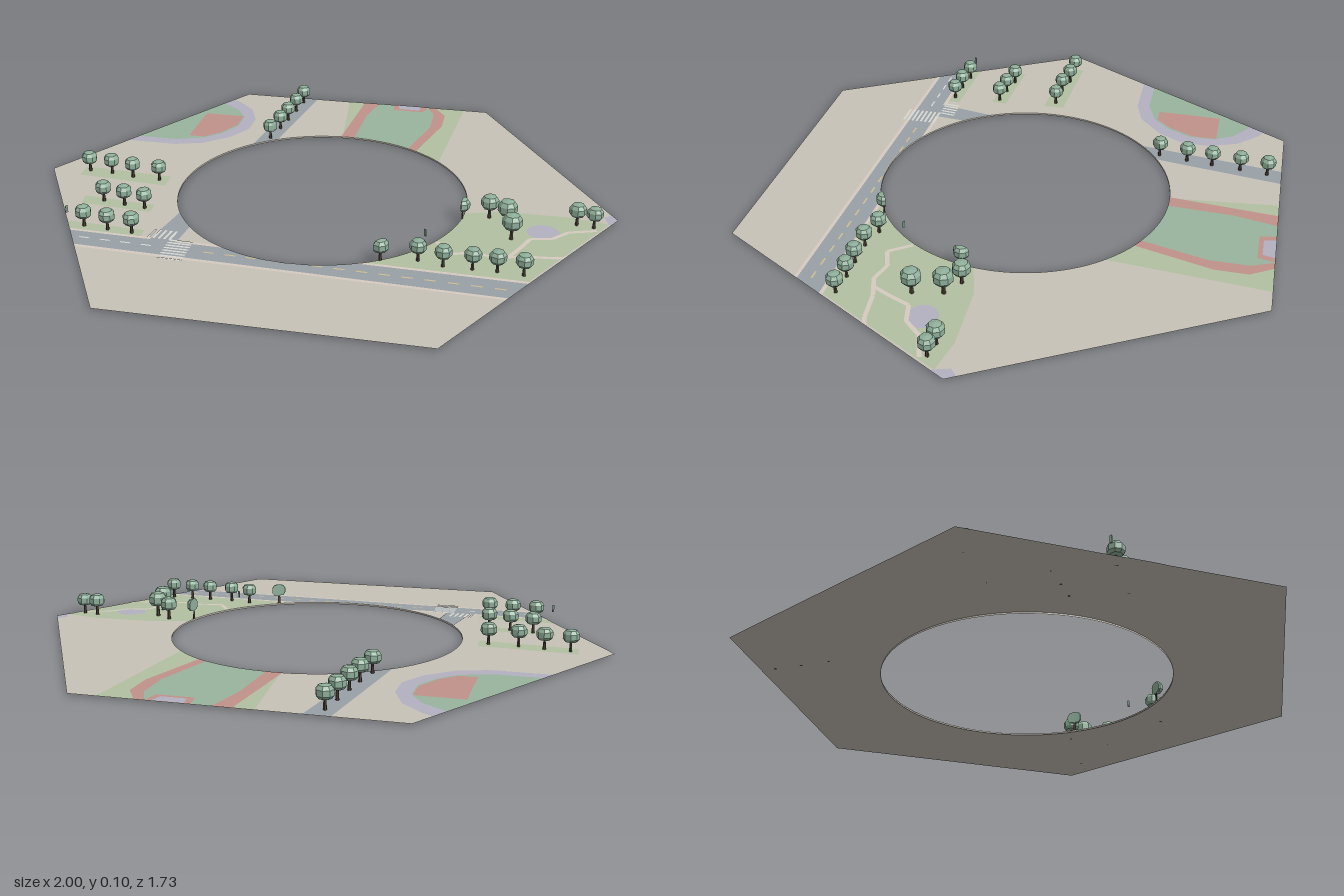
import * as THREE from 'three';

const HOLE = 0.5, GROUND = 0.006, H = Math.sqrt(3) / 2;
const mat = (color, flat = false) =>
  new THREE.MeshStandardMaterial({ color, flatShading: flat, side: THREE.DoubleSide });
const M = {
  ground: mat(0xc8c2b8), road: mat(0x98a1a6), grass: mat(0xb2c0a2), field: mat(0x9ab49e),
  red: mat(0xbf928b), lilac: mat(0xb3b1c0), path: mat(0xd6cbc0), white: mat(0xd9d9d4),
  yellow: mat(0xd0bd90), crown: mat(0x8fb09a, true), trunk: mat(0x4e4038, true),
};
const hexagon = [0, 1, 2, 3, 4, 5].map(i => [Math.cos(i * Math.PI / 3), Math.sin(i * Math.PI / 3)]);

// Cut a polygon [x, z] to the hexagon
function clipToHexagon(poly) {
  for (let i = 0; i < 6; i++) {
    const a = (i + 0.5) * Math.PI / 3, nx = Math.cos(a), nz = Math.sin(a), out = [];
    poly.forEach((p, k) => {
      const q = poly[(k + 1) % poly.length];
      const dp = H - p[0] * nx - p[1] * nz, dq = H - q[0] * nx - q[1] * nz;
      if (dp >= 0) out.push(p);
      if (dp * dq < 0) {
        const t = dp / (dp - dq);
        out.push([p[0] + (q[0] - p[0]) * t, p[1] + (q[1] - p[1]) * t]);
      }
    });
    poly = out;
  }
  return poly;
}

// Points inside the central hole move out to its rim
function outOfHole([x, z]) {
  const r = Math.hypot(x, z);
  return r < HOLE ? [x * HOLE / r, z * HOLE / r] : [x, z];
}

// Flat marking on the ground, cut to the plate's outline
function patch(parent, name, material, poly, layer) {
  const cut = clipToHexagon(poly), pts = [];
  if (cut.length < 3) return;
  cut.forEach((p, k) => {
    const q = cut[(k + 1) % cut.length];
    const n = Math.max(1, Math.ceil(Math.hypot(q[0] - p[0], q[1] - p[1]) / 0.02));
    for (let j = 0; j < n; j++) {
      const [x, z] = outOfHole([p[0] + (q[0] - p[0]) * j / n, p[1] + (q[1] - p[1]) * j / n]);
      pts.push(new THREE.Vector2(x, -z));
    }
  });
  const geo = new THREE.ShapeGeometry(new THREE.Shape(pts));
  geo.rotateX(-Math.PI / 2).translate(0, GROUND + layer * 0.0004, 0);
  const mesh = new THREE.Mesh(geo, material);
  mesh.name = name;
  parent.add(mesh);
}

// Straight strip between two points
function strip(parent, name, material, a, b, width, layer) {
  const dx = b[0] - a[0], dz = b[1] - a[1], l = Math.hypot(dx, dz);
  const nx = -dz / l * width / 2, nz = dx / l * width / 2;
  patch(parent, name, material, [[a[0] + nx, a[1] + nz], [b[0] + nx, b[1] + nz],
    [b[0] - nx, b[1] - nz], [a[0] - nx, a[1] - nz]], layer);
}

// Low-poly tree: tapered trunk and faceted crown
function tree(parent, x, z, s = 1) {
  const g = new THREE.Group();
  g.name = 'tree';
  const profile = [[0, 0.032], [0.02, 0.034], [0.027, 0.043], [0.027, 0.061], [0.019, 0.072], [0, 0.076]]
    .map(p => new THREE.Vector2(...p));
  const parts = [
    ['trunk', new THREE.CylinderGeometry(0.004, 0.006, 0.034, 6).translate(0, 0.017, 0), M.trunk],
    ['crown', new THREE.LatheGeometry(profile, 8), M.crown],
  ];
  for (const [name, geo, material] of parts) {
    geo.scale(s, s, s).translate(x, GROUND, z);
    const p = geo.attributes.position;
    for (let i = 0; i < p.count; i++) {
      const [px, pz] = outOfHole([p.getX(i), p.getZ(i)]);
      p.setXYZ(i, px, p.getY(i), pz);
    }
    geo.computeVertexNormals();
    const mesh = new THREE.Mesh(geo, material);
    mesh.name = name;
    g.add(mesh);
  }
  parent.add(g);
}

export function createModel() {
  const model = new THREE.Group();
  model.name = 'cityBlock';
  const group = name => {
    const g = new THREE.Group();
    g.name = name;
    model.add(g);
    return g;
  };

  // Hexagonal plate with a round opening and its rim
  const shape = new THREE.Shape(hexagon.map(p => new THREE.Vector2(...p)));
  shape.holes.push(new THREE.Path().absarc(0, 0, HOLE, 0, Math.PI * 2, true));
  const plate = new THREE.Mesh(
    new THREE.ShapeGeometry(shape, 48).rotateX(-Math.PI / 2).translate(0, GROUND, 0), M.ground);
  plate.name = 'groundPlate';
  const rim = new THREE.Mesh(
    new THREE.CylinderGeometry(HOLE, HOLE, GROUND, 96, 1, true).translate(0, GROUND / 2, 0), M.ground);
  rim.name = 'holeRim';
  model.add(plate, rim);

  // Running track in the back right corner
  const track = group('roundTrack');
  patch(track, 'trackRing', M.lilac, [[-0.9, -0.3], [-0.64, -0.3], [-0.54, -0.33], [-0.45, -0.41],
    [-0.4, -0.5], [-0.4, -0.6], [-0.44, -0.7], [-0.51, -0.77], [-0.62, -0.84]], 1);
  patch(track, 'trackLawn', M.field, [[-0.9, -0.345], [-0.65, -0.345], [-0.55, -0.38], [-0.49, -0.44],
    [-0.45, -0.52], [-0.45, -0.61], [-0.49, -0.68], [-0.55, -0.725], [-0.65, -0.78]], 2);
  patch(track, 'trackCourt', M.red, [[-0.61, -0.62], [-0.455, -0.62], [-0.455, -0.53], [-0.5, -0.44],
    [-0.55, -0.39], [-0.61, -0.39]], 3);

  // Sports field at the back
  const field = group('sportsField');
  patch(field, 'fieldVerge', M.grass, [[-0.065, -0.87], [0.41, -0.87], [0.365, -0.33], [-0.02, -0.45]], 1);
  patch(field, 'fieldTrack', M.red, [[0, -0.87], [0.29, -0.87], [0.34, -0.79], [0.34, -0.68],
    [0.26, -0.38], [-0.035, -0.45]], 2);
  patch(field, 'fieldLawn', M.field, [[0.06, -0.87], [0.26, -0.87], [0.295, -0.79], [0.295, -0.66],
    [0.23, -0.4], [0.02, -0.45], [0.03, -0.72]], 3);
  patch(field, 'fieldEnd', M.red, [[0.12, -0.87], [0.26, -0.87], [0.25, -0.81], [0.13, -0.81]], 4);
  patch(field, 'fieldEndCourt', M.lilac, [[0.14, -0.87], [0.24, -0.87], [0.23, -0.825], [0.15, -0.825]], 5);

  // Park with pond and footpaths
  const park = group('park');
  patch(park, 'parkLawn', M.grass, [[0.4, 0.05], [0.5, 0.05], [0.62, 0.015], [0.85, 0.01], [0.97, 0.035],
    [0.72, 0.47], [0.18, 0.455]], 1);
  const pond = [...Array(10).keys()].map(i => i * Math.PI / 5)
    .map(a => [0.76 + 0.055 * Math.cos(a), 0.135 + 0.05 * Math.sin(a)]);
  patch(park, 'pond', M.lilac, pond, 2);
  const paths = [
    [[0.43, 0.27], [0.48, 0.34], [0.55, 0.315], [0.62, 0.335], [0.7, 0.31], [0.8, 0.3], [0.9, 0.27]],
    [[0.66, 0.32], [0.69, 0.26], [0.72, 0.19], [0.79, 0.175], [0.84, 0.12], [0.93, 0.09]],
  ];
  for (const line of paths)
    for (let i = 1; i < line.length; i++) strip(park, 'footpath', M.path, line[i - 1], line[i], 0.014, 3);

  // Roads with sidewalks, lane dashes and zebra crossings
  const roads = group('roads');
  patch(roads, 'sidewalk', M.path, [[-0.85, 0.418], [0.8, 0.462], [0.8, 0.583], [-0.8, 0.528]], 2);
  patch(roads, 'mainRoad', M.road, [[-0.85, 0.43], [0.8, 0.475], [0.8, 0.572], [-0.8, 0.515]], 3);
  patch(roads, 'sideRoad', M.road, [[-0.43, 0.2], [-0.36, 0.2], [-0.385, 0.45], [-0.475, 0.45]], 4);
  patch(roads, 'backRoad', M.road, [[-0.28, -0.87], [-0.2, -0.87], [-0.27, -0.38], [-0.345, -0.36]], 2);
  patch(roads, 'cornerRoad', M.lilac, [[0.955, -0.01], [1, -0.05], [1, 0.05], [0.97, 0.04]], 2);
  const center = x => 0.498 + 0.037 * x;
  for (let x = -0.7; x < 0.7; x += 0.07)
    if (x < -0.46 || x > -0.34)
      strip(roads, 'laneDash', x < -0.3 ? M.white : M.yellow, [x, center(x)], [x + 0.035, center(x + 0.035)], 0.006, 5);
  for (let i = 0; i < 8; i++)
    strip(roads, 'zebraStripe', M.white, [-0.41, 0.435 + i * 0.0165], [-0.33, 0.437 + i * 0.0165], 0.008, 6);
  for (let i = 0; i < 5; i++)
    strip(roads, 'zebraStripe', M.white, [-0.475 + i * 0.018, 0.375], [-0.482 + i * 0.018, 0.432], 0.008, 6);

  // Planted beds
  const beds = group('plantedBeds');
  [[[-0.885, -0.04], [-0.56, -0.02], [-0.555, 0.055], [-0.885, 0.03]],
    [[-0.8, 0.185], [-0.54, 0.205], [-0.54, 0.26], [-0.79, 0.24]],
    [[-0.8, 0.37], [-0.51, 0.385], [-0.51, 0.43], [-0.75, 0.425]],
  ].forEach(p => patch(beds, 'plantedBed', M.grass, p, 1));

  // Trees: x, z, optional scale
  const trees = group('trees');
  [[-0.86, -0.01], [-0.775, -0.005], [-0.69, 0.01], [-0.59, 0.015],
    [-0.72, 0.21], [-0.64, 0.225], [-0.565, 0.235],
    [-0.715, 0.395], [-0.63, 0.405], [-0.545, 0.41],
    [-0.25, -0.815], [-0.26, -0.72], [-0.27, -0.62], [-0.28, -0.53], [-0.295, -0.43],
    [0.27, 0.42], [0.385, 0.4], [0.465, 0.42], [0.555, 0.42], [0.63, 0.42], [0.71, 0.425],
    [0.49, 0.09], [0.58, 0.065, 1.1], [0.64, 0.105, 1.2], [0.66, 0.2, 1.2], [0.865, 0.06, 1.05], [0.92, 0.07],
  ].forEach(t => tree(trees, ...t));

  // Slivers of foliage cut off at the plate's edges
  for (const [x, z, turn] of [[0.395, 0.31, 0.9], [-0.775, 0.388, -0.52]]) {
    const sliver = new THREE.Mesh(new THREE.BoxGeometry(0.003, 0.024, 0.008), M.crown);
    sliver.name = 'foliageSliver';
    sliver.position.set(x, 0.058, z);
    sliver.rotation.y = turn;
    trees.add(sliver);
  }
  return model;
}
